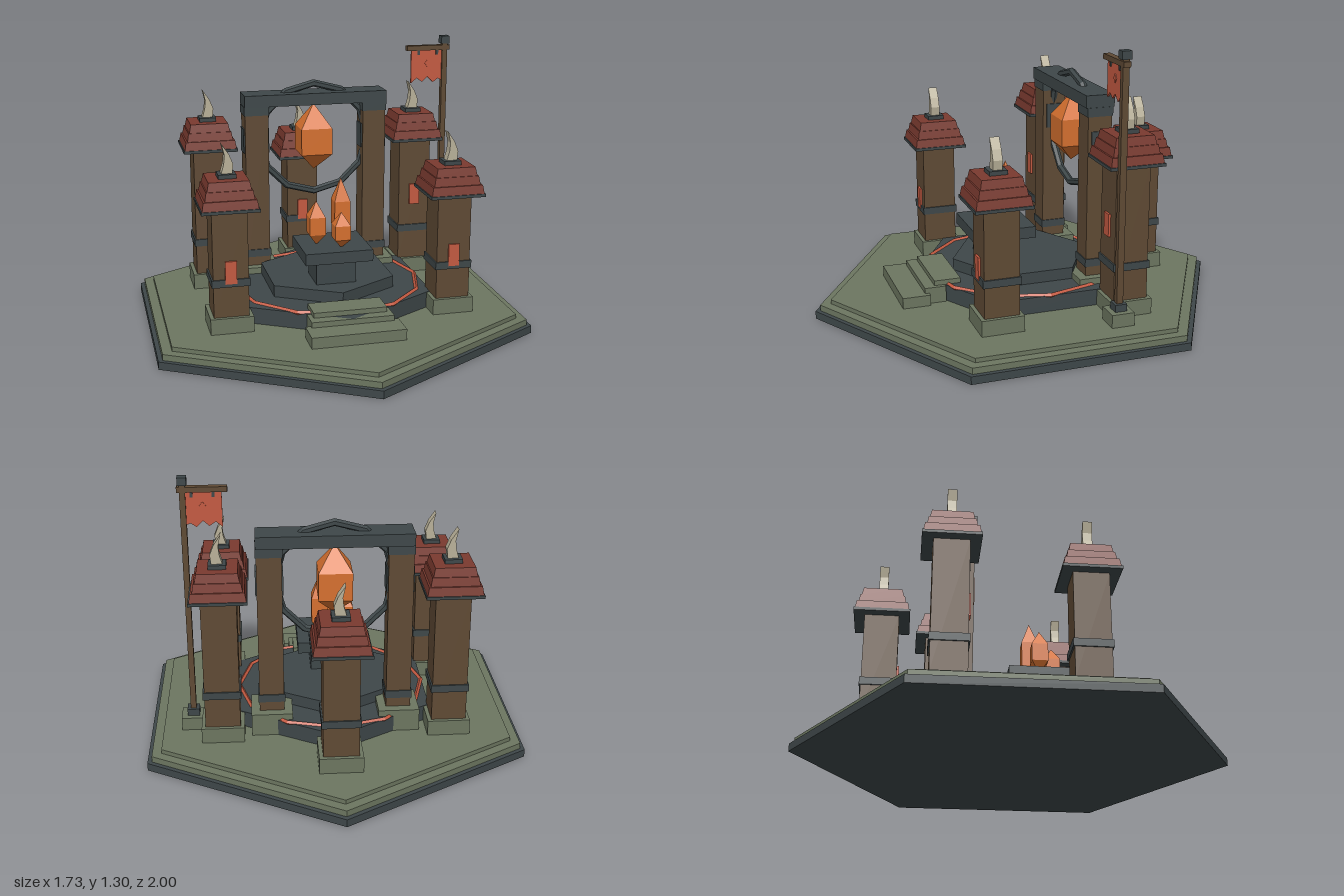
import * as THREE from 'three';

const mat = (name, color) => {
  const m = new THREE.MeshStandardMaterial({ color });
  m.name = name;
  return m;
};

export function createModel() {
  const slate = mat('dark slate', 0x3e4749);
  const stone = mat('mossy stone', 0x6c7660);
  const wood = mat('brown timber', 0x5f4a34);
  const roofRed = mat('roof red', 0x7a3a2f);
  const coral = mat('coral cloth', 0xc45a41);
  const orange = mat('orange crystal', 0xd5702f);
  const bone = mat('pale bone', 0xb9b199);

  const model = new THREE.Group();
  model.name = 'shrine';

  // Helpers: every mesh is faceted
  const add = (parent, name, geo, material, x = 0, y = 0, z = 0) => {
    const g = geo.index ? geo.toNonIndexed() : geo;
    g.computeVertexNormals();
    const mesh = new THREE.Mesh(g, material);
    mesh.name = name;
    mesh.position.set(x, y, z);
    parent.add(mesh);
    return mesh;
  };
  const group = (name, x = 0, y = 0, z = 0, parent = model) => {
    const g = new THREE.Group();
    g.name = name;
    g.position.set(x, y, z);
    parent.add(g);
    return g;
  };
  // Box from half width, half depth and a bottom and top height
  const block = (parent, name, m, hx, hz, y0, y1, x = 0, z = 0) =>
    add(parent, name, new THREE.BoxGeometry(hx * 2, y1 - y0, hz * 2), m, x, (y0 + y1) / 2, z);
  // Hexagonal slab with corners on the z axis
  const hex = (name, m, r, y0, y1) =>
    add(model, name, new THREE.CylinderGeometry(r, r, y1 - y0, 6), m, 0, (y0 + y1) / 2, 0);
  // Square frustum from bottom and top half widths
  const frustum = (parent, name, m, h0, h1, y0, y1, open = false) => {
    const g = new THREE.CylinderGeometry(h1 * Math.SQRT2, h0 * Math.SQRT2, y1 - y0, 4, 1, open);
    return add(parent, name, g.rotateY(Math.PI / 4), m, 0, (y0 + y1) / 2, 0);
  };
  const extrude = (points, depth) => {
    const shape = new THREE.Shape(points.map(([x, y]) => new THREE.Vector2(x, y)));
    return new THREE.ExtrudeGeometry(shape, { depth, bevelEnabled: false }).translate(0, 0, -depth / 2);
  };
  const crystal = (name, x, z, half, y0, y1) => {
    const g = group(name, x, 0, z);
    const low = y0 + (y1 - y0) * 0.26, high = y0 + (y1 - y0) * 0.65;
    frustum(g, 'crystalBase', orange, 0, half, y0, low, true);
    frustum(g, 'crystalBody', orange, half, half, low, high, true);
    frustum(g, 'crystalTip', orange, half, 0, high, y1, true);
  };

  // Ground slabs, platform and dais
  hex('foundation', slate, 0.998, 0, 0.036);
  hex('lowerTerrace', stone, 0.975, 0.036, 0.064);
  hex('upperTerrace', stone, 0.925, 0.064, 0.084);
  hex('platform', slate, 0.52, 0.084, 0.16);
  hex('dais', slate, 0.335, 0.16, 0.215);
  add(model, 'glowRing', new THREE.TorusGeometry(0.448, 0.011, 4, 12).rotateX(Math.PI / 2), coral, 0, 0.159, 0);

  // Entrance steps
  [[0.215, 0.135, 0.5, 0.63], [0.19, 0.16, 0.42, 0.52], [0.17, 0.183, 0.345, 0.47]].forEach(
    ([hx, top, z0, z1], i) => block(model, 'step' + (i + 1), stone, hx, (z1 - z0) / 2, 0.08, top, 0, (z0 + z1) / 2));

  // Altar with a cluster of crystals
  block(model, 'altarStem', slate, 0.095, 0.085, 0.215, 0.335, 0, 0.12);
  block(model, 'altarSlab', slate, 0.16, 0.15, 0.335, 0.39, 0, 0.12);
  crystal('leftCrystal', 0.05, 0.085, 0.038, 0.385, 0.695);
  crystal('rightCrystal', -0.077, 0.118, 0.038, 0.385, 0.6);
  crystal('frontCrystal', 0.027, 0.188, 0.037, 0.385, 0.558);

  // Five roofed towers, each with a curved horn
  const horn = [[-0.025, 0], [0.025, 0], [0.03, 0.045], [0.012, 0.09], [-0.02, 0.137], [-0.008, 0.085], [-0.012, 0.045]];
  const tower = (x, z, rise) => {
    const g = group('tower', x, 0, z);
    const eave = 0.65 + rise;
    block(g, 'towerFoot', stone, 0.098, 0.098, 0.08, 0.157);
    block(g, 'towerBody', wood, 0.08, 0.08, 0.157, eave);
    block(g, 'towerBand', slate, 0.087, 0.087, 0.3, 0.335);
    block(g, 'towerPanel', coral, 0.026, 0.005, 0.315 + rise, 0.42 + rise, 0, 0.085);
    block(g, 'eave', slate, 0.13, 0.13, eave, eave + 0.014);
    [[0.125, 0.118], [0.11, 0.103], [0.098, 0.09]].forEach(([h0, h1], i) =>
      frustum(g, 'roofTier' + (i + 1), roofRed, h0, h1, eave + 0.014 + i * 0.04, eave + 0.054 + i * 0.04));
    block(g, 'roofCap', slate, 0.04, 0.04, eave + 0.134, eave + 0.153);
    add(g, 'horn', extrude(horn, 0.043), bone, 0, eave + 0.15, 0);
  };
  for (const s of [-1, 1]) {
    tower(s * 0.52, 0.28, 0);
    tower(s * 0.52, -0.322, 0.13);
  }
  tower(0, -0.617, 0);

  // Gate: two posts, lintel, ring and hanging crystal
  const gateZ = -0.265;
  for (const s of [-1, 1]) {
    const g = group(s > 0 ? 'leftGatePost' : 'rightGatePost', s * 0.294, 0, gateZ);
    block(g, 'postFoot', stone, 0.095, 0.1, 0.08, 0.19);
    block(g, 'post', wood, 0.057, 0.057, 0.19, 0.99);
    block(g, 'postBand', slate, 0.062, 0.062, 0.235, 0.272);
    block(g, 'postCapital', slate, 0.061, 0.061, 0.948, 0.99);
    for (const t of [-1, 1]) block(g, 'postSidePlate', slate, 0.004, 0.04, 0.76, 0.88, t * 0.059);
  }
  block(model, 'lintel', slate, 0.353, 0.068, 0.99, 1.047, 0, gateZ);
  add(model, 'gateRing', new THREE.TorusGeometry(0.272, 0.018, 6, 12), slate, 0, 0.815, gateZ);
  crystal('hangingCrystal', 0, gateZ, 0.077, 0.655, 0.987);

  // Banner pole
  const flag = group('bannerPole', 0.66, 0, -0.24);
  block(flag, 'poleFoot', stone, 0.055, 0.053, 0.08, 0.145);
  block(flag, 'poleSocket', slate, 0.028, 0.028, 0.145, 0.178);
  block(flag, 'pole', wood, 0.013, 0.015, 0.178, 1.265);
  block(flag, 'finial', slate, 0.02, 0.022, 1.265, 1.302);
  block(flag, 'crossbar', wood, 0.11, 0.016, 1.233, 1.257, -0.085);
  const cloth = [[-0.17, 1.233], [-0.17, 1.07], [-0.14, 1.095], [-0.112, 1.075], [-0.085, 1.1],
    [-0.055, 1.072], [-0.03, 1.09], [-0.008, 1.08], [-0.008, 1.233]];
  add(flag, 'banner', extrude(cloth, 0.01), coral);
  add(flag, 'bannerDiamond', extrude([[-0.015, 0], [0, -0.021], [0.015, 0], [0, 0.021]], 0.016), coral, -0.085, 1.168, 0);
  for (const x of [-0.133, -0.038]) block(flag, 'bannerLoop', slate, 0.006, 0.01, 1.21, 1.236, x);

  return model;
}
